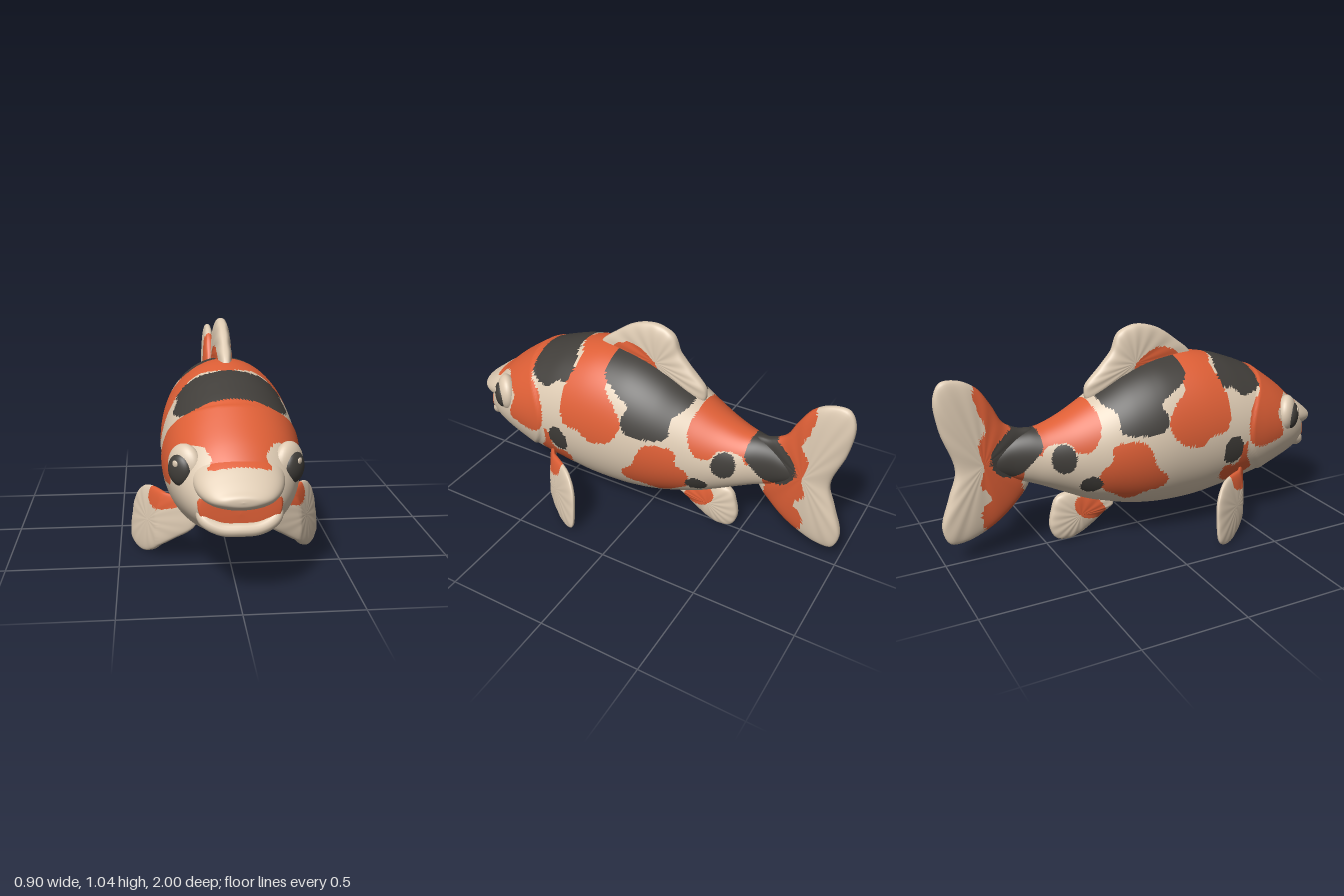
import * as THREE from 'three';

const mat = (name, color) => Object.assign(new THREE.MeshStandardMaterial({ color }), { name });
const cream = mat('cream', 0xdecbb3);
const orange = mat('orange', 0xde5f36);
const charcoal = mat('charcoal', 0x413e3a);
const palette = [cream, orange, charcoal];
const ORANGE = 1, BLACK = 2;

// Smooth closed outline through [z, y] points given in hundredths
function outline(points, n) {
  const curve = new THREE.CatmullRomCurve3(
    points.map(([z, y]) => new THREE.Vector3(z / 100, y / 100, 0)), true, 'centripetal');
  return curve.getPoints(n).slice(0, n);
}
const patch = (colour, points) => ({ colour, poly: outline(points, points.length * 5) });
const spot = (z, y, rz, ry) => patch(BLACK, Array.from({ length: 8 }, (_, i) => {
  const a = i * Math.PI / 4;
  return [z + rz * Math.cos(a), y + ry * Math.sin(a)];
}));

function inside(poly, z, y) {
  let hit = false;
  for (let i = 0, j = poly.length - 1; i < poly.length; j = i++) {
    const a = poly[i], b = poly[j];
    if ((a.y > y) !== (b.y > y) && z < (b.x - a.x) * (y - a.y) / (b.y - a.y) + a.x) hit = !hit;
  }
  return hit;
}

// Closed-loop surface; every triangle takes the colour of the last patch covering it
function surface(name, nu, nv, at, patches = []) {
  const pos = [], faces = [[], [], []];
  for (let i = 0; i <= nu; i++) for (let j = 0; j < nv; j++) pos.push(...at(i / nu, j, nv));
  const add = (...tri) => {
    const mean = k => tri.reduce((s, v) => s + pos[v * 3 + k], 0) / 3;
    const y = mean(1), z = mean(2);
    let colour = 0;
    for (const p of patches) if (inside(p.poly, z, y)) colour = p.colour;
    faces[colour].push(...tri);
  };
  for (let i = 0; i < nu; i++) for (let j = 0; j < nv; j++) {
    const k = (j + 1) % nv;
    const a = i * nv + j, b = a + nv, c = (i + 1) * nv + k, d = i * nv + k;
    add(a, b, c);
    add(a, c, d);
  }
  const geo = new THREE.BufferGeometry();
  geo.setAttribute('position', new THREE.Float32BufferAttribute(pos, 3));
  geo.setIndex(faces.flat());
  let start = 0;
  faces.forEach((f, m) => {
    if (f.length) geo.addGroup(start, f.length, m);
    start += f.length;
  });
  geo.computeVertexNormals();
  const mesh = new THREE.Mesh(geo, palette);
  mesh.name = name;
  return mesh;
}

// Elliptical loft through rows of [z, top, bottom, half width]
function loft(name, rows, nu, nv, patches, swell = () => 1) {
  const curve = f => new THREE.CatmullRomCurve3(rows.map(f), false, 'catmullrom', 0.5);
  const ends = curve(r => new THREE.Vector3(r[0], r[1], r[2]));
  const widths = curve(r => new THREE.Vector3(r[3], 0, 0));
  return surface(name, nu, nv, (t, j, n) => {
    const e = ends.getPoint(t), w = widths.getPoint(t).x, a = j / n * Math.PI * 2;
    const mid = (e.y + e.z) / 2, half = (e.y - e.z) / 2;
    const y = mid + half * Math.sin(a), s = swell(e.x, y);
    return [w * Math.cos(a) * s, mid + half * Math.sin(a) * s, e.x];
  }, patches);
}

// Rounded fin inflated from an outline; bend gives the sideways position of its middle
function fin(name, points, [cz, cy], thick, patches, bend = () => 0) {
  const n = 96, edge = outline(points, n);
  if (!THREE.ShapeUtils.isClockWise(edge)) edge.reverse();
  return surface(name, 36, n, (t, j) => {
    const r = Math.sin(t * Math.PI), c = Math.cos(t * Math.PI);
    const z = cz / 100 + (edge[j].x - cz / 100) * r;
    const y = cy / 100 + (edge[j].y - cy / 100) * r;
    const ray = 1 + 0.05 * r * Math.cos(j / n * Math.PI * 28);
    return [bend(z, y) + Math.sign(c) * Math.pow(Math.abs(c), 0.7) * thick * ray, y, z];
  }, patches);
}

// Koi markings, as [z, y] side outlines shared by both flanks
const headPatch = patch(ORANGE, [[88, 100], [88, 56], [86, 56], [82, 60], [76, 63], [70, 60], [66, 57], [68, 51],
  [69, 45], [62, 43], [54, 42], [48, 46], [47, 57], [51, 65], [57, 70], [58, 81], [58, 100]]);
const gillPatch = patch(ORANGE, [[46, 47], [43, 43], [42, 35], [34, 34], [34, 27], [40, 23.5], [47, 26], [52, 30], [47, 38]]);
const tailPatches = [
  patch(ORANGE, [[-58, 75], [-70, 90], [-82, 84], [-81, 73], [-78, 65], [-82, 58], [-80, 46], [-82, 38], [-77, 32],
    [-82, 25], [-78, 12], [-62, 20], [-62, 42]]),
  patch(BLACK, [[-55, 75], [-54, 62], [-53.5, 54], [-58, 48], [-63, 42], [-69, 40], [-76, 46], [-76, 53], [-70, 60],
    [-66, 63], [-63, 75]]),
];
const bodyPatches = [
  headPatch, gillPatch,
  patch(ORANGE, [[38, 100], [38, 87], [33, 84], [35, 74], [36, 62], [33, 54], [25, 53], [20, 49], [11, 50], [6, 54],
    [3, 62], [8, 70], [14, 76], [12, 84], [8, 100]]),
  patch(BLACK, [[58, 100], [58, 72], [55, 70], [51, 69], [45, 69], [40, 73], [35, 74], [34, 81], [38, 87], [38, 100]]),
  patch(BLACK, [[14, 100], [17, 84], [16, 80], [8, 75], [1, 70], [3, 65], [1, 59], [-7, 57], [-19, 59], [-19, 67],
    [-24, 71], [-25, 78], [-25, 100]]),
  patch(ORANGE, [[-28, 100], [-28, 72], [-27, 62], [-33, 51], [-39, 51], [-42, 55], [-52, 54], [-55, 50], [-58, 60],
    [-55, 70], [-55, 100]]),
  patch(ORANGE, [[-10, 54], [-23, 53], [-24, 46], [-29, 41], [-28, 32], [-21, 27], [-14, 23], [-7, 27], [2, 30],
    [3, 35], [-3, 41], [-6, 49]]),
  ...tailPatches,
  spot(38, 43, 5.5, 7.5), spot(-45, 48, 5.5, 7), spot(-32.5, 34, 5, 4.5),
  patch(ORANGE, [[100, 45], [89, 45], [89, 39], [89, 33], [100, 33]]),
];

export function createModel() {
  const model = new THREE.Group();
  model.name = 'koi';
  const put = (name, geo, material, parent = model) => {
    const mesh = new THREE.Mesh(geo, material);
    mesh.name = name;
    parent.add(mesh);
    return mesh;
  };

  // Body, with the gill cover standing slightly proud behind the head
  const gill = (z, y) => {
    const d = z - 0.475 - 2.2 * (y - 0.5) ** 2;
    return 1 + 0.03 * THREE.MathUtils.smoothstep(d, -0.005, 0.015) * Math.exp(-Math.max(d, 0) * 9);
  };
  model.add(loft('body', [
    [0.905, 0.39, 0.385, 0], [0.9, 0.5, 0.31, 0.145], [0.88, 0.56, 0.285, 0.175], [0.8, 0.645, 0.255, 0.228],
    [0.7, 0.72, 0.222, 0.266], [0.6, 0.78, 0.19, 0.286], [0.5, 0.822, 0.168, 0.295], [0.4, 0.855, 0.148, 0.3],
    [0.25, 0.88, 0.127, 0.302], [0.1, 0.872, 0.126, 0.296], [0, 0.85, 0.135, 0.285], [-0.1, 0.81, 0.152, 0.264],
    [-0.2, 0.755, 0.18, 0.235], [-0.3, 0.7, 0.212, 0.2], [-0.4, 0.65, 0.26, 0.165], [-0.5, 0.615, 0.31, 0.13],
    [-0.58, 0.605, 0.345, 0.096], [-0.66, 0.58, 0.375, 0.066], [-0.75, 0.53, 0.42, 0.04], [-0.8, 0.48, 0.47, 0],
  ], 190, 128, bodyPatches, gill));

  // Mouth: overhanging upper jaw and a rounded lower lip
  model.add(loft('upperJaw', [
    [1, 0.468, 0.466, 0], [0.994, 0.487, 0.445, 0.07], [0.97, 0.506, 0.428, 0.115], [0.93, 0.538, 0.412, 0.15],
    [0.88, 0.575, 0.402, 0.175], [0.82, 0.61, 0.4, 0.19],
  ], 40, 64, [headPatch]));
  const lip = [[-0.15, 0.41, 0.84], [-0.142, 0.36, 0.88], [-0.08, 0.327, 0.902], [0, 0.322, 0.908],
    [0.08, 0.327, 0.902], [0.142, 0.36, 0.88], [0.15, 0.41, 0.84]].map(p => new THREE.Vector3(...p));
  put('lowerLip', new THREE.TubeGeometry(new THREE.CatmullRomCurve3(lip), 48, 0.028, 14), cream);

  // Median fins
  model.add(fin('tailFin', [[-54, 60], [-62, 62], [-69, 66], [-74, 75], [-80, 83.5], [-88, 88], [-96, 88], [-99.5, 81],
    [-98, 66], [-92, 46], [-96, 33], [-100, 19], [-97, 11], [-90, 10.5], [-77, 15.5], [-65, 25], [-57, 36]],
  [-80, 48], 0.045, tailPatches));
  model.add(fin('dorsalFin', [[29, 86], [20, 95], [9, 102], [-2, 104], [-10.5, 100.5], [-14, 92.5], [-21, 84.5],
    [-28, 76.5], [-27, 70], [-7, 72], [15, 78]], [-3, 86], 0.045,
  [patch(ORANGE, [[22, 86], [18, 90], [11, 92.5], [3, 90.5], [-4, 83], [0, 78], [22, 78]])]));
  model.add(fin('analFin', [[-14, 14.5], [-21, 20], [-34, 25], [-44, 23.5], [-47, 16.5], [-48, 8.5], [-45, 2],
    [-38, 0.5], [-29, 4], [-19, 11]], [-33, 13], 0.04,
  [patch(ORANGE, [[-19, 12], [-22, 18], [-26, 22], [-34, 22], [-36, 17], [-31, 11], [-23, 9.5]])]));

  for (const side of [1, -1]) {
    const label = side > 0 ? 'left' : 'right';

    // Pectoral fin, splayed outward and swept back
    model.add(fin(label + 'PectoralFin', [[52, 30], [44, 31.5], [28, 31], [22, 24.5], [20.5, 14], [22, 3], [30, 0],
      [38, 3], [46, 11], [52, 19]], [36, 17], 0.03, [gillPatch],
    (z, y) => side * (0.567 - 0.574 * z - 0.117 * y - 0.8 * Math.max(0, z - 0.42))));

    // Eye: pale socket, dark eyeball and a small glint
    const eye = new THREE.Group();
    eye.name = label + 'Eye';
    eye.position.set(side * 0.21, 0.54, 0.745);
    eye.rotation.y = side * Math.PI / 4;
    const ball = (name, material, p, r) => {
      const mesh = put(name, new THREE.SphereGeometry(1, 32, 20), material, eye);
      mesh.position.set(...p);
      mesh.scale.set(...r);
    };
    ball('eyeSocket', cream, [0, 0, 0], [0.085, 0.095, 0.05]);
    ball('eyeball', charcoal, [0, -0.008, 0.03], [0.06, 0.068, 0.034]);
    ball('eyeGlint', cream, [0, 0.024, 0.06], [0.014, 0.014, 0.005]);
    model.add(eye);
  }
  return model;
}
